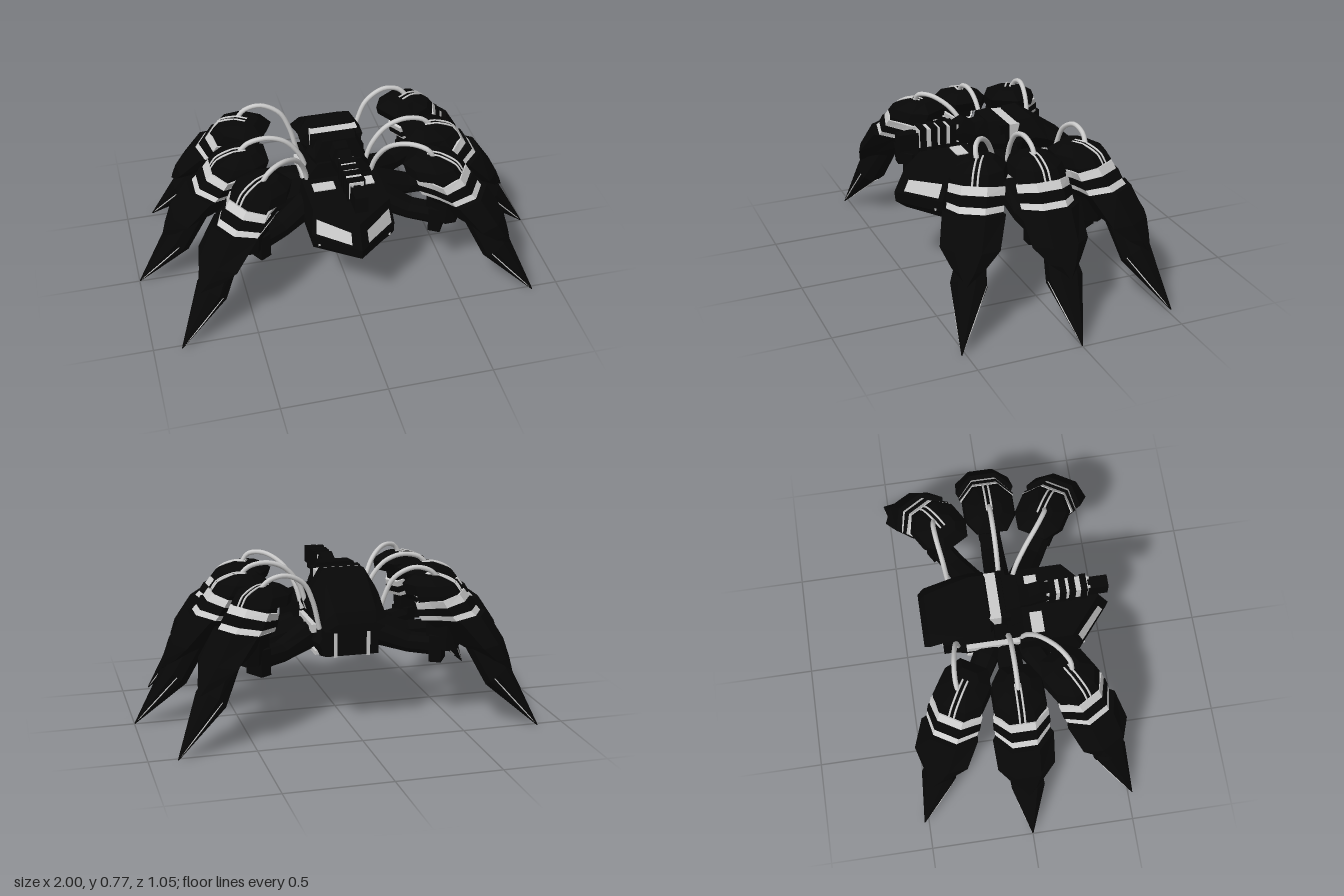
import * as THREE from 'three';

const black = new THREE.MeshStandardMaterial({ color: 0x070707, flatShading: true });
const grey = new THREE.MeshStandardMaterial({ color: 0xcccccc, flatShading: true });
const pipeGrey = new THREE.MeshStandardMaterial({ color: 0xcccccc });
const pane = new THREE.MeshStandardMaterial({ color: 0xcccccc, side: THREE.DoubleSide });

function add(parent, name, geometry, material) {
  const mesh = new THREE.Mesh(geometry, material);
  mesh.name = name;
  parent.add(mesh);
  return mesh;
}

// Box given by its min and max corners
function box(parent, name, [x0, y0, z0], [x1, y1, z1], material = black) {
  const g = new THREE.BoxGeometry(x1 - x0, y1 - y0, z1 - z0);
  g.translate((x0 + x1) / 2, (y0 + y1) / 2, (z0 + z1) / 2);
  return add(parent, name, g, material);
}

// Closed skin over matching cross-sections, turned outwards by its signed volume
function loft(rings) {
  const n = rings[0].length, tris = [], last = rings.length - 1;
  for (let i = 0; i < last; i++) {
    for (let j = 0; j < n; j++) {
      const k = (j + 1) % n, a = rings[i], b = rings[i + 1];
      tris.push([a[j], a[k], b[k]], [a[j], b[k], b[j]]);
    }
  }
  for (let j = 1; j < n - 1; j++) {
    tris.push([rings[0][0], rings[0][j + 1], rings[0][j]]);
    tris.push([rings[last][0], rings[last][j], rings[last][j + 1]]);
  }
  let volume = 0;
  for (const [a, b, c] of tris) {
    volume += a[0] * (b[1] * c[2] - b[2] * c[1]) - a[1] * (b[0] * c[2] - b[2] * c[0]) + a[2] * (b[0] * c[1] - b[1] * c[0]);
  }
  if (volume < 0) tris.forEach((t) => t.reverse());
  const g = new THREE.BufferGeometry();
  g.setAttribute('position', new THREE.Float32BufferAttribute(tris.flat(2), 3));
  g.computeVertexNormals();
  return g;
}

// Leg sections run from an inner point to an outer point with half-width w;
// BLOCK is evenly chamfered, SHIELD is widest near the outside
const BLOCK = [[0, -0.6], [0.3, -1], [0.72, -1], [1, -0.5], [1, 0.5], [0.72, 1], [0.3, 1], [0, 0.6]];
const SHIELD = [[0, -0.3], [0.35, -0.6], [0.7, -1], [1, -0.45], [1, 0.45], [0.7, 1], [0.35, 0.6], [0, 0.3]];
const limb = (profile, sections) => loft(sections.map(([xi, yi, xo, yo, w]) =>
  profile.map(([s, t]) => [xi + (xo - xi) * s, yi + (yo - yi) * s, t * w])));

// Six-sided body section across x at a given z
const spine = (sections) => loft(sections.map(([z, yb, yt, w]) => {
  const ym = yb + (yt - yb) * 0.45, half = [[w * 0.66, yt], [w, ym], [w * 0.8, yb]];
  return [...half.map(([x, y]) => [x, y, z]), ...half.reverse().map(([x, y]) => [-x, y, z])];
}));

function tube(parent, name, points, radius) {
  const curve = new THREE.CatmullRomCurve3(points.map((p) => new THREE.Vector3(...p)));
  return add(parent, name, new THREE.TubeGeometry(curve, 24, radius, 8), pipeGrey);
}

// One leg, reaching out along +x from the centre of the body
function makeLeg() {
  const leg = new THREE.Group();
  leg.name = 'leg';
  add(leg, 'hipArm', limb(BLOCK, [[0.13, 0.36, 0.13, 0.47, 0.06], [0.21, 0.35, 0.21, 0.47, 0.06], [0.36, 0.325, 0.37, 0.41, 0.055], [0.49, 0.32, 0.49, 0.41, 0.05]]), black);
  box(leg, 'hipJoint', [0.47, 0.29, -0.053], [0.53, 0.42, 0.053]);
  add(leg, 'thighCore', limb(SHIELD, [[0.45, 0.36, 0.6, 0.35, 0.06], [0.45, 0.52, 0.62, 0.54, 0.09]]), black);
  add(leg, 'kneePod', limb(BLOCK, [
    [0.39, 0.713, 0.5, 0.713, 0.06], [0.34, 0.675, 0.58, 0.68, 0.115], [0.36, 0.625, 0.61, 0.64, 0.125],
  ]), black);
  add(leg, 'kneeCore', limb(SHIELD, [[0.4, 0.64, 0.6, 0.645, 0.12], [0.42, 0.54, 0.62, 0.6, 0.12]]), black);
  add(leg, 'upperBand', limb(SHIELD, [[0.4, 0.57, 0.615, 0.637, 0.13], [0.41, 0.54, 0.64, 0.603, 0.13]]), grey);
  add(leg, 'middleBand', limb(SHIELD, [[0.405, 0.54, 0.65, 0.603, 0.134], [0.415, 0.51, 0.675, 0.563, 0.134]]), black);
  add(leg, 'lowerBand', limb(SHIELD, [[0.42, 0.51, 0.67, 0.563, 0.13], [0.43, 0.49, 0.695, 0.538, 0.13]]), grey);
  add(leg, 'shinShell', limb(SHIELD, [
    [0.45, 0.49, 0.72, 0.538, 0.144], [0.62, 0.385, 0.81, 0.405, 0.136],
    [0.72, 0.33, 0.845, 0.325, 0.075], [0.82, 0.29, 0.867, 0.268, 0.008],
  ]), black);
  add(leg, 'footSpike', limb(BLOCK, [
    [0.64, 0.38, 0.76, 0.4, 0.055], [0.75, 0.2, 0.845, 0.285, 0.08], [0.997, 0, 1, 0.003, 0.002],
  ]), black);
  // Slim inlays under the spike and along its two sides
  add(leg, 'footInlay', limb(BLOCK, [[0.768, 0.181, 0.785, 0.2, 0.025], [0.93, 0.05, 0.945, 0.065, 0.006]]), grey);
  for (const s of [-1, 1]) {
    tube(leg, 'footEdgeLine', [[0.797, 0.243, s * 0.079], [0.9, 0.12, s * 0.041], [0.995, 0.006, 0]], 0.003);
    tube(leg, 'podLine', [[0.44, 0.712, s * 0.012], [0.5, 0.712, s * 0.012], [0.58, 0.68, s * 0.012], [0.612, 0.635, s * 0.012]], 0.005);
  }
  return leg;
}

function makeHull() {
  const hull = new THREE.Group();
  hull.name = 'hull';
  // Wedge bow, outlined at four heights
  const levels = [[0.33, 0.19, 0.33, 0.46], [0.37, 0.2, 0.35, 0.515], [0.42, 0.2, 0.35, 0.52], [0.535, 0.185, 0.31, 0.465]];
  add(hull, 'bow', loft(levels.map(([y, w, zs, tip]) =>
    [[0, y, tip], [w, y, zs], [w, y, 0.06], [-w, y, 0.06], [-w, y, zs]])), black);
  // Light panes on the upper bow faces
  const onBow = (side, u, v) => [side * (0.2 - 0.015 * v) * u, 0.42 + 0.115 * v,
    0.525 - 0.055 * v - u * (0.17 - 0.015 * v)];
  for (const s of [-1, 1]) {
    const g = new THREE.BufferGeometry();
    const [a, b, c, d] = [[0.2, 0.12], [0.92, 0.12], [0.92, 0.7], [0.2, 0.6]].map(([u, v]) => onBow(s, u, v));
    g.setAttribute('position', new THREE.Float32BufferAttribute([a, b, c, a, c, d].flat(), 3));
    g.computeVertexNormals();
    add(hull, 'bowWindow', g, pane);
    // Small lamps, deck vents, side rails and rear straps
    box(hull, 'bowLamp', [s * 0.17 - 0.005, 0.37, 0.36], [s * 0.17 + 0.005, 0.38, 0.379], grey);
    box(hull, 'deckVent', [s * 0.095 - 0.053, 0.53, 0.12], [s * 0.095 + 0.053, 0.54, 0.18], grey);
    box(hull, 'sideRail', [s * 0.155 - 0.012, 0.45, -0.2], [s * 0.155 + 0.012, 0.49, 0.18], grey);
    box(hull, 'lowerRail', [s * 0.14 - 0.012, 0.34, -0.2], [s * 0.14 + 0.012, 0.36, 0.1], grey);
    box(hull, 'rearStrap', [s * 0.08 - 0.008, 0.355, -0.315], [s * 0.08 + 0.008, 0.488, -0.2], grey);
  }
  add(hull, 'midHull', spine([[0.08, 0.335, 0.5, 0.16], [-0.2, 0.335, 0.5, 0.16], [-0.26, 0.345, 0.49, 0.145]]), black);
  box(hull, 'rearBumper', [-0.13, 0.36, -0.31], [0.13, 0.48, -0.24]);
  // Belly strips
  for (const x of [-0.09, 0, 0.09]) box(hull, 'bellyStrip', [x - 0.006, 0.326, -0.19], [x + 0.006, 0.336, 0.32], grey);
  for (const z of [-0.12, 0.04, 0.2]) box(hull, 'bellyCrossStrip', [-0.125, 0.327, z - 0.006], [0.125, 0.336, z + 0.006], grey);
  return hull;
}

function makeTurret() {
  const turret = new THREE.Group();
  turret.name = 'turret';
  add(turret, 'neck', spine([[0.08, 0.48, 0.62, 0.16], [-0.06, 0.48, 0.66, 0.16]]), black);
  add(turret, 'head', spine([[0.07, 0.56, 0.74, 0.12], [0, 0.56, 0.74, 0.14]]), black);
  box(turret, 'headBar', [-0.115, 0.64, -0.08], [0.115, 0.722, 0], grey);
  box(turret, 'headBlock', [-0.12, 0.6, -0.025], [0.12, 0.725, 0.02]);
  // Rear carapace with a plate sloping down to the back
  add(turret, 'carapace', spine([
    [-0.06, 0.58, 0.69, 0.13], [-0.08, 0.575, 0.735, 0.155], [-0.15, 0.58, 0.74, 0.155],
    [-0.21, 0.58, 0.7, 0.155], [-0.37, 0.52, 0.59, 0.15], [-0.4, 0.5, 0.54, 0.135],
  ]), black);
  // Gun with alternating dark and light rings
  add(turret, 'gunBreech', spine([[0.06, 0.62, 0.735, 0.05], [0.12, 0.62, 0.725, 0.05], [0.17, 0.63, 0.752, 0.045], [0.22, 0.64, 0.73, 0.04]]), black);
  box(turret, 'gunCore', [-0.035, 0.64, 0.2], [0.035, 0.728, 0.4], grey);
  for (const z of [0.23, 0.28, 0.325, 0.38]) box(turret, 'gunRing', [-0.042, 0.625, z - 0.015], [0.042, 0.736, z + 0.015]);
  box(turret, 'gunBarrel', [-0.03, 0.632, 0.39], [0.03, 0.714, 0.497]);
  for (const x of [-0.022, 0.022]) box(turret, 'gunFrontLine', [x - 0.004, 0.65, 0.4], [x + 0.004, 0.73, 0.41], grey);
  return turret;
}

export function createModel() {
  const model = new THREE.Group();
  model.name = 'sixLeggedWalker';
  model.add(makeHull(), makeTurret());

  // Three legs a side, fanned about the centre; the corner legs reach slightly further
  for (const side of [0, 180]) {
    for (const fan of [-31, 0, 31]) {
      const leg = makeLeg();
      leg.rotation.y = THREE.MathUtils.degToRad(side + fan);
      if (fan) leg.translateX(0.013);
      model.add(leg);
    }
  }

  // Arched pipes from the body to each knee pod
  const pipes = [
    [[0.15, 0.5, 0.06], [0.18, 0.62, 0.09], [0.23, 0.71, 0.14], [0.31, 0.757, 0.21], [0.38, 0.745, 0.255], [0.41, 0.7, 0.26]],
    [[0.14, 0.52, 0], [0.18, 0.64, 0], [0.25, 0.725, 0], [0.34, 0.757, 0], [0.43, 0.74, 0], [0.47, 0.7, 0]],
    [[0.14, 0.48, -0.24], [0.175, 0.62, -0.25], [0.22, 0.71, -0.26], [0.31, 0.757, -0.275], [0.39, 0.74, -0.28], [0.43, 0.7, -0.275]],
  ];
  for (const s of [-1, 1]) {
    for (const path of pipes) tube(model, 'pipe', path.map(([x, y, z]) => [s * x, y, z]), 0.012);
  }
  return model;
}
